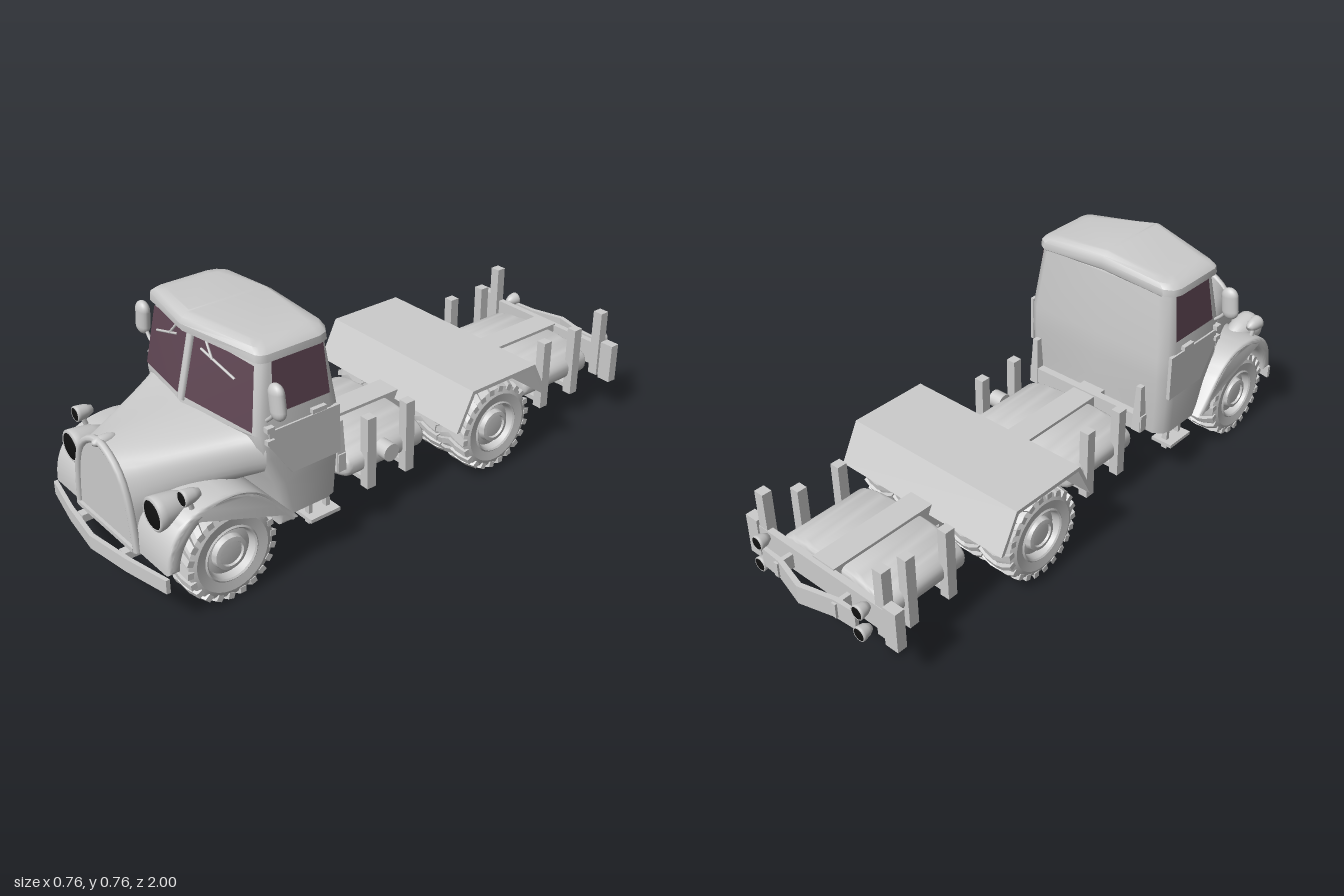
import * as THREE from 'three';
import { toCreasedNormals } from 'three/addons/utils/BufferGeometryUtils.js';
import { RoundedBoxGeometry } from 'three/addons/geometries/RoundedBoxGeometry.js';

const V = (x, y, z) => new THREE.Vector3(x, y, z);
const grey = new THREE.MeshStandardMaterial({ color: 0xcccccc });
const black = new THREE.MeshStandardMaterial({ color: 0x111111 });
const glass = new THREE.MeshStandardMaterial({ color: 0x5e4552, side: THREE.DoubleSide });

export function createModel() {
  const root = new THREE.Group();
  root.name = 'flatbedTruck';

  const add = (name, geo, pos = [0, 0, 0], mat = grey, parent = root) => {
    const m = new THREE.Mesh(geo, mat);
    m.name = name;
    m.position.set(...pos);
    parent.add(m);
    return m;
  };
  const box = (name, w, h, d, x, y, z) => add(name, new THREE.BoxGeometry(w, h, d), [x, y, z]);
  const tube = (name, pts, r) => add(name, new THREE.TubeGeometry(new THREE.CatmullRomCurve3(pts), 24, r, 8));
  const shapeOf = pts => new THREE.Shape(pts.map(p => new THREE.Vector2(...p)));

  // Outline in (z, y) extruded across x
  const extrudeX = (name, shape, x0, x1, bevel = 0) => {
    const g = new THREE.ExtrudeGeometry(shape, { depth: x1 - x0 - 2 * bevel, curveSegments: 20,
      bevelEnabled: bevel > 0, bevelSize: bevel, bevelThickness: bevel, bevelOffset: -bevel, bevelSegments: 4 });
    g.rotateY(-Math.PI / 2);
    return add(name, toCreasedNormals(g, 0.6), [x1 - bevel, 0, 0]);
  };
  // Right half of a plan outline in (x, z), mirrored and extruded up y
  const slab = (name, half, y0, y1) => {
    const pts = [...half, ...half.filter(p => p[0] > 0).reverse().map(([x, z]) => [-x, z])];
    const g = new THREE.ExtrudeGeometry(shapeOf(pts), { depth: y1 - y0, bevelEnabled: false });
    g.rotateX(Math.PI / 2);
    return add(name, g, [0, y1, 0]);
  };
  // Skin over closed rings, counter-clockwise seen from the last ring, with end caps
  const loft = (name, rings, crease) => {
    const n = rings[0].length, pos = [], idx = [];
    rings.forEach(r => r.forEach(p => pos.push(p.x, p.y, p.z)));
    for (let k = 0; k + 1 < rings.length; k++) for (let i = 0; i < n; i++) {
      const a = k * n + i, b = k * n + (i + 1) % n;
      idx.push(a, b, b + n, a, b + n, a + n);
    }
    [0, rings.length - 1].forEach(k => {
      const c = rings[k].reduce((s, p) => s.add(p), V(0, 0, 0)).divideScalar(n), ci = pos.length / 3;
      pos.push(c.x, c.y, c.z);
      for (let i = 0; i < n; i++) {
        const a = k * n + i, b = k * n + (i + 1) % n;
        idx.push(...(k ? [ci, a, b] : [ci, b, a]));
      }
    });
    const g = new THREE.BufferGeometry();
    g.setAttribute('position', new THREE.Float32BufferAttribute(pos, 3));
    g.setIndex(idx);
    return add(name, toCreasedNormals(g, crease));
  };
  const panel = (name, pts) => {
    const g = new THREE.BufferGeometry().setFromPoints(pts);
    g.setIndex([0, 1, 2, 0, 2, 3]);
    g.computeVertexNormals();
    add(name, g, [0, 0, 0], glass);
  };

  // Cab: horizontal sections [y, half width, back z, front side z, front centre z, side drop]
  const section = ([y, w, zb, zs, zc, drop = 0]) => {
    const r = Math.min(0.02, w * 0.3);
    const half = [[0, zc], [w - r, zs], [w - r * 0.3, zs - r * 0.5], [w, zs - r * 1.5],
      [w, zb + r * 2.5], [w - r * 0.5, zb + r], [w - r * 2, zb], [0, zb]];
    return [...half, ...half.slice(1, -1).reverse().map(([x, z]) => [-x, z])]
      .map(([x, z]) => V(x, y - drop * Math.abs(x), z));
  };
  const lower = [0.48, 0.298, 0.305, 0.61, 0.672], upper = [0.70, 0.272, 0.33, 0.575, 0.615];
  loft('cab', [[0.18, 0.29, 0.315, 0.52, 0.54], [0.3, 0.297, 0.31, 0.55, 0.56],
    [0.4, 0.3, 0.305, 0.6, 0.62], lower, upper].map(section), 0.7);
  loft('roof', [[0.706, 0.27, 0.332, 0.57, 0.62, 0.06], [0.712, 0.286, 0.328, 0.59, 0.648, 0.06],
    [0.735, 0.284, 0.33, 0.588, 0.652, 0.06], [0.752, 0.265, 0.337, 0.58, 0.645, 0.07],
    [0.763, 0.23, 0.355, 0.565, 0.628, 0.1], [0.766, 0.01, 0.36, 0.615, 0.62, 0.1]].map(section), 0.7);
  const at = (y, i) => THREE.MathUtils.mapLinear(y, 0.48, 0.70, lower[i], upper[i]);
  const onScreen = (x, y, off = 0.005) =>
    V(x, y, THREE.MathUtils.lerp(at(y, 4), at(y, 3), Math.abs(x) / (at(y, 1) - 0.02)) + off);

  // Hood: arch sections blending from the cowl to the nose
  const cowl = [[0.16, 0.18], [0.17, 0.3], [0.285, 0.36], [0.297, 0.43], [0.27, 0.47], [0.15, 0.492], [0, 0.5]];
  const nose = [[0.16, 0.18], [0.152, 0.25], [0.138, 0.33], [0.115, 0.39], [0.09, 0.422], [0.05, 0.45], [0, 0.465]];
  const arch = (t, z) => {
    const half = cowl.map(([x, y], i) => V(THREE.MathUtils.lerp(x, nose[i][0], t), THREE.MathUtils.lerp(y, nose[i][1], t), z));
    return new THREE.CatmullRomCurve3([...half, ...half.slice(0, -1).reverse().map(p => V(-p.x, p.y, z))]).getPoints(48);
  };
  loft('hood', Array.from({ length: 9 }, (_, k) => arch(Math.pow(k / 8, 0.9), 0.585 + 0.355 * k / 8)), 0.8);
  tube('grilleSurround', arch(1, 0.938), 0.012);
  const ornament = add('hoodOrnament', new THREE.SphereGeometry(1, 16, 10), [0, 0.462, 0.92]);
  ornament.scale.set(0.018, 0.016, 0.04);
  box('grilleSill', 0.31, 0.014, 0.02, 0, 0.185, 0.94);
  const divider = tube('windscreenDivider', [V(0, 0.5, 0.666), V(0, 0.71, 0.614)], 0.012);
  divider.scale.x = 1.2;

  // Wheel with chevron tread
  const tyre = new THREE.LatheGeometry([[0, -0.035], [0.08, -0.035], [0.085, -0.058], [0.12, -0.065], [0.142, -0.056],
    [0.147, 0], [0.142, 0.056], [0.12, 0.065], [0.09, 0.06], [0.085, 0.064], [0.08, 0.06], [0.075, 0.035],
    [0.056, 0.04], [0.052, 0.058], [0.04, 0.06], [0.038, 0.052], [0, 0.052]].map(p => new THREE.Vector2(...p)), 40);
  const tyreGeo = toCreasedNormals(tyre, 0.5);
  const lug = new THREE.BoxGeometry(0.128, 0.02, 0.02, 4, 1, 1);
  const lp = lug.attributes.position;
  for (let i = 0; i < lp.count; i++) {
    const a = Math.abs(lp.getX(i));
    lp.setZ(i, lp.getZ(i) + a * 0.45);
    lp.setY(i, lp.getY(i) + 0.146 - (a > 0.05 ? 0.009 : 0));
  }
  const lugGeo = lug.toNonIndexed();
  lugGeo.computeVertexNormals();
  const wheel = (name, s, x, y, z) => {
    const g = new THREE.Group();
    g.name = name;
    g.position.set(s * x, y, z);
    root.add(g);
    add('tyreAndRim', tyreGeo, [0, 0, 0], grey, g).rotation.z = -s * Math.PI / 2;
    for (let i = 0; i < 22; i++) add('treadLug', lugGeo, [0, 0, 0], grey, g).rotation.x = i * Math.PI / 11;
  };
  const rod = (name, r, len, axis, x, y, z) => {
    const m = add(name, new THREE.CylinderGeometry(r, r, len, 20), [x, y, z]);
    m.rotation[axis === 'x' ? 'z' : 'x'] = Math.PI / 2;
    return m;
  };

  // Front fender outline in (z, y) around the wheel arch
  const fender = new THREE.Shape();
  fender.moveTo(0.935, 0.18);
  fender.bezierCurveTo(0.935, 0.29, 0.88, 0.36, 0.74, 0.36);
  fender.bezierCurveTo(0.62, 0.36, 0.57, 0.26, 0.49, 0.18);
  fender.lineTo(0.555, 0.18);
  fender.absarc(0.727, 0.17, 0.168, Math.PI - 0.06, 0.06, true);

  // Lamp: body of revolution with a dark lens
  const lamp = (name, r, len, x, y, z) => {
    const g = new THREE.Group();
    g.name = name;
    g.position.set(x, y, z);
    root.add(g);
    const shell = [[0, -len], [r * 0.5, -len * 0.9], [r * 0.85, -len * 0.55], [r * 0.98, -len * 0.15], [r, 0], [r * 0.85, r * 0.1], [r * 0.83, 0]];
    add('lampBody', new THREE.LatheGeometry(shell.map(p => new THREE.Vector2(...p)), 28), [0, 0, 0], grey, g).rotation.x = Math.PI / 2;
    const lens = add('lampLens', new THREE.SphereGeometry(r * 0.85, 24, 12), [0, 0, 0], black, g);
    lens.scale.z = 0.2;
    return g;
  };

  for (const s of [1, -1]) {
    const span = (a, b) => s > 0 ? [a, b] : [-b, -a];
    wheel('frontWheel', s, 0.255, 0.16, 0.727);
    wheel('rearOuterWheel', s, 0.255, 0.172, -0.32);
    wheel('rearInnerWheel', s, 0.122, 0.172, -0.32);
    extrudeX('frontFender', fender, ...span(0.13, 0.32), 0.014);
    lamp('headlight', 0.052, 0.13, s * 0.228, 0.33, 0.915);
    lamp('markerLamp', 0.025, 0.06, s * 0.292, 0.39, 0.86);
    tube('markerLampStem', [V(s * 0.29, 0.345, 0.83), V(s * 0.292, 0.38, 0.84)], 0.008);

    // Windows, wipers, door and mirror
    panel('windscreen', [[0.018, 0.512], [0.275, 0.49], [0.254, 0.68], [0.018, 0.703]].map(([x, y]) => onScreen(s * x, y)));
    panel('sideWindow', [[0.535, 0.557], [0.535, 0.355], [0.692, 0.362], [0.692, 0.54]]
      .map(([y, z]) => V(s * (at(y, 1) + 0.003), y, z)));
    tube('wiperBlade', [onScreen(s * 0.2, 0.627, 0.014), onScreen(s * 0.06, 0.672, 0.014)], 0.004);
    tube('wiperArm', [onScreen(s * 0.11, 0.656, 0.016), onScreen(s * 0.07, 0.702, 0.012)], 0.004);
    extrudeX('doorPanel', shapeOf([[0.575, 0.49], [0.575, 0.44], [0.5, 0.33], [0.325, 0.33], [0.325, 0.49]]), ...span(0.29, 0.303));
    box('doorHandle', 0.015, 0.014, 0.05, s * 0.305, 0.505, 0.405);
    for (const y of [0.46, 0.5]) box('doorHinge', 0.02, 0.016, 0.025, s * 0.302, y, 0.575);
    tube('mirrorArm', [V(s * 0.293, 0.525, 0.575), V(s * 0.315, 0.545, 0.575), V(s * 0.34, 0.58, 0.575)], 0.006);
    const mirror = add('mirror', new THREE.CapsuleGeometry(0.03, 0.052, 8, 18), [s * 0.345, 0.605, 0.575]);
    mirror.scale.z = 0.65;
    mirror.rotation.z = s * 0.12;

    // Cab step
    box('cabStep', 0.08, 0.012, 0.11, s * 0.275, 0.14, 0.392);
    for (const z of [0.36, 0.425]) box('stepBracket', 0.02, 0.08, 0.014, s * 0.275, 0.15, z);

    // Deck stakes, tail posts and lamps
    for (const z of [0.153, -0.005, -0.635, -0.79]) {
      box('stake', 0.034, 0.25, 0.035, s * 0.228, 0.225, z);
      box('stakeFoot', 0.09, 0.016, 0.03, s * 0.19, 0.125, z);
    }
    const post = add('cabRearPost', new THREE.CylinderGeometry(0.014, 0.025, 0.17, 4, 1).toNonIndexed(), [s * 0.225, 0.295, 0.27]);
    post.geometry.rotateY(Math.PI / 4);
    post.geometry.computeVertexNormals();
    box('tailPost', 0.036, 0.24, 0.034, s * 0.25, 0.27, -0.897);
    box('tailEndPlate', 0.05, 0.14, 0.034, s * 0.295, 0.21, -0.905);
    box('tailBracket', 0.016, 0.05, 0.07, s * 0.125, 0.213, -0.94);
    for (const y of [0.255, 0.175]) lamp('tailLamp', 0.024, 0.045, s * 0.215, y, -0.966).rotation.y = Math.PI;
    box('bumperBracket', 0.03, 0.025, 0.09, s * 0.12, 0.158, 0.92);
  }

  // Chassis, axles and bumpers
  box('chassisBeam', 0.09, 0.09, 1.8, 0, 0.22, 0);
  rod('frontAxle', 0.018, 0.46, 'x', 0, 0.16, 0.727);
  rod('rearAxle', 0.022, 0.46, 'x', 0, 0.172, -0.32);
  add('differential', new THREE.SphereGeometry(0.05, 20, 12), [0, 0.172, -0.32]);
  slab('frontBumper', [[0, 1.0], [0.16, 0.978], [0.318, 0.945], [0.318, 0.932], [0.16, 0.964], [0, 0.985]], 0.13, 0.175);
  slab('rearBumper', [[0, -1.0], [0.12, -0.968], [0.2, -0.963], [0.2, -0.95], [0.12, -0.952], [0, -0.982]], 0.18, 0.245);
  box('tailBoard', 0.64, 0.085, 0.022, 0, 0.218, -0.905);
  box('cabRearBar', 0.49, 0.06, 0.028, 0, 0.24, 0.27);

  // Tanks under the deck
  const oval = [];
  for (let i = 0; i < 48; i++) {
    const a = i * Math.PI / 24, p = v => Math.sign(v) * Math.pow(Math.abs(v), 0.75);
    oval.push([0.23 * p(Math.cos(a)), 0.19 + 0.065 * p(Math.sin(a))]);
  }
  for (const z of [-0.085, -0.875]) {
    const g = new THREE.ExtrudeGeometry(shapeOf(oval), { depth: 0.28, bevelSize: 0.02, bevelThickness: 0.02, bevelOffset: -0.02, bevelSegments: 4 });
    add('tank', toCreasedNormals(g, 0.7), [0, 0, z + 0.02]);
  }
  rod('fuelCap', 0.03, 0.05, 'x', 0.238, 0.21, 0.088);

  // Rear mudguard: bent plate over both rear wheels
  extrudeX('rearMudguard', shapeOf([[-0.115, 0.235], [-0.18, 0.365], [-0.462, 0.365], [-0.53, 0.235],
    [-0.516, 0.235], [-0.454, 0.352], [-0.188, 0.352], [-0.129, 0.235]]), -0.342, 0.342);
  return root;
}
